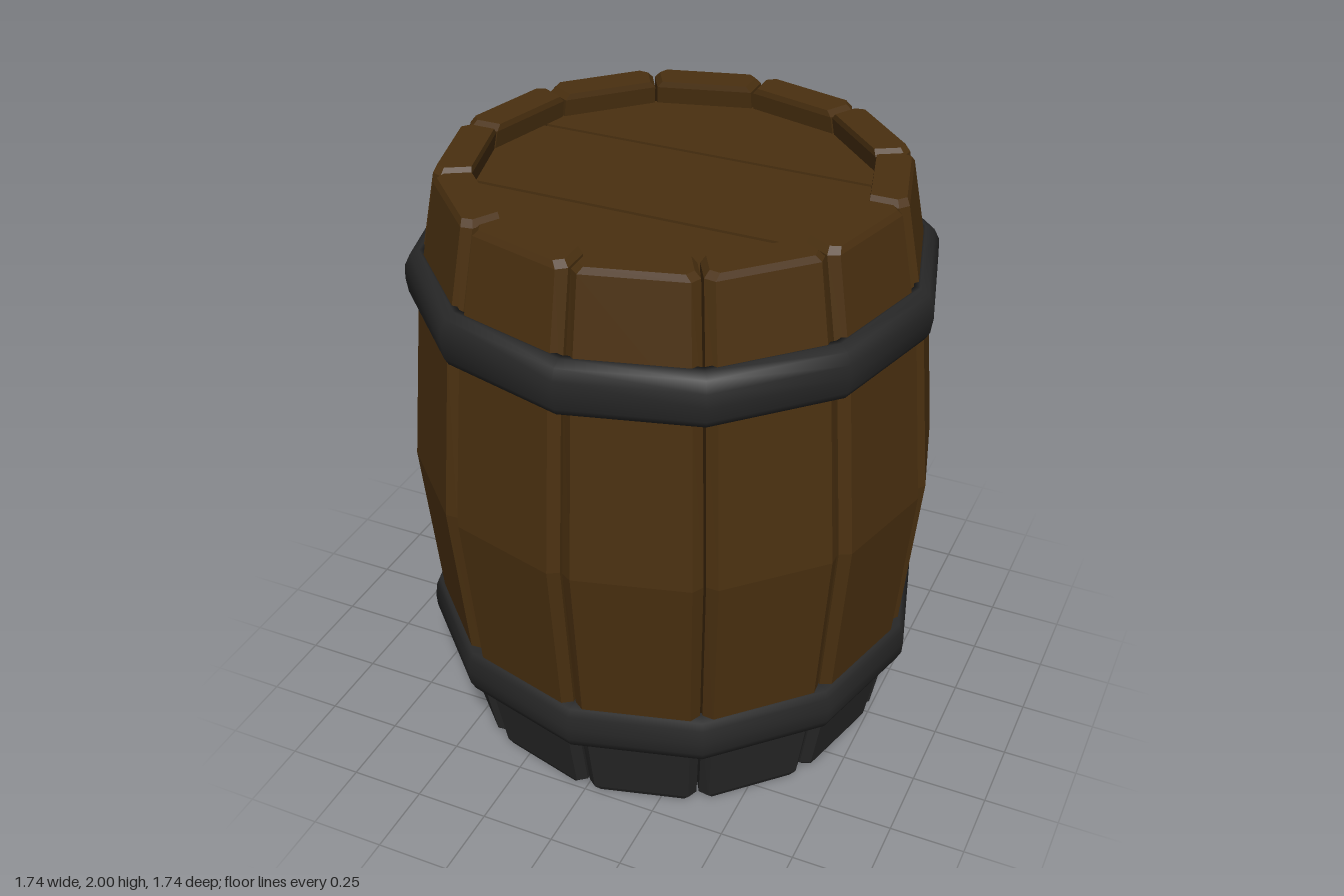
import * as THREE from 'three';

const COUNT = 12;
const STEP = (Math.PI * 2) / COUNT;

// Barrel bulge: 1 at mid height, narrowing toward both ends
function bulge(y) {
  const d = Math.abs(y - 1);
  return d < 0.6 ? 1 - (d / 0.6) * 0.062 : 0.938 - ((d - 0.6) / 0.4) * 0.088;
}

// Cross-section of one stave as [radius, sideways] pairs
function staveSection(y, scale = 1) {
  const f = bulge(y), outer = 0.85 * f, w = 0.187 * f;
  const mid = outer - 0.03, inner = outer - 0.12, centre = outer - 0.06;
  const side = r => r * Math.tan(STEP / 2) - 0.004;
  return [
    [outer, -w], [outer, w], [mid, side(mid)],
    [inner, side(inner)], [inner, -side(inner)], [mid, -side(mid)],
  ].map(([r, t]) => [centre + (r - centre) * scale, y, t * scale]);
}

// Skin a stack of sections, closed at both ends, with faceted normals
function skin(loops) {
  const pos = [];
  const tri = (a, b, c) => pos.push(...a, ...b, ...c);
  const n = loops[0].length;
  for (let i = 0; i < loops.length - 1; i++) {
    for (let j = 0; j < n; j++) {
      const k = (j + 1) % n;
      const a = loops[i][j], b = loops[i][k], c = loops[i + 1][k], d = loops[i + 1][j];
      tri(a, d, c);
      tri(a, c, b);
    }
  }
  const bottom = loops[0], top = loops[loops.length - 1];
  for (let j = 1; j < n - 1; j++) {
    tri(bottom[0], bottom[j], bottom[j + 1]);
    tri(top[0], top[j + 1], top[j]);
  }
  const geo = new THREE.BufferGeometry();
  geo.setAttribute('position', new THREE.Float32BufferAttribute(pos, 3));
  geo.computeVertexNormals();
  return geo;
}

// Lid plank: a strip of a twelve-sided disc between two z values
function plankGeometry(z0, z1, radius, depth) {
  const corners = [];
  for (let i = -3; i <= 3; i++) {
    corners.push([radius * Math.sin(i * STEP), radius * Math.cos(i * STEP)]);
  }
  const halfWidth = z => {
    for (let i = 0; i < 6; i++) {
      const [a, wa] = corners[i], [b, wb] = corners[i + 1];
      if (z <= b) return wa + ((wb - wa) * (z - a)) / (b - a);
    }
    return 0;
  };
  const zs = [z0, ...corners.map(c => c[0]).filter(z => z > z0 + 1e-4 && z < z1 - 1e-4), z1];
  const right = zs.map(z => new THREE.Vector2(halfWidth(z), z));
  const left = zs.map(z => new THREE.Vector2(-halfWidth(z), z)).reverse();
  const geo = new THREE.ExtrudeGeometry(new THREE.Shape([...right, ...left]), { depth, bevelEnabled: false });
  return geo.rotateX(-Math.PI / 2);
}

export function createModel() {
  const barrel = new THREE.Group();
  barrel.name = 'barrel';
  const wood = new THREE.MeshStandardMaterial({ color: 0x4a3010 });
  wood.name = 'brown wood';
  const iron = new THREE.MeshStandardMaterial({ color: 0x272727 });
  iron.name = 'dark iron';

  const add = (name, geo, mat, y = 0) => {
    const mesh = new THREE.Mesh(geo, mat);
    mesh.name = name;
    mesh.position.y = y;
    barrel.add(mesh);
    return mesh;
  };

  // Staves: brown above the lower hoop, dark below it
  const upper = skin([
    ...[0.36, 0.4, 1, 1.6, 1.98].map(y => staveSection(y)), staveSection(2, 0.9),
  ]);
  const lower = skin([
    staveSection(0, 0.9), ...[0.02, 0.36].map(y => staveSection(y)),
  ]);
  for (let i = 0; i < COUNT; i++) {
    add('stave', upper, wood).rotation.y = (i + 0.5) * STEP;
    add('staveFoot', lower, iron).rotation.y = (i + 0.5) * STEP;
  }

  // Hoops: rounded bands, the lower one mirrored
  const profile = [
    [0.785, 1.565], [0.835, 1.566], [0.848, 1.59], [0.855, 1.64], [0.852, 1.685],
    [0.835, 1.72], [0.805, 1.735], [0.785, 1.735], [0.785, 1.565],
  ];
  const hoop = pts => new THREE.LatheGeometry(pts.map(p => new THREE.Vector2(...p)), COUNT);
  add('upperHoop', hoop(profile), iron);
  add('lowerHoop', hoop(profile.map(([r, y]) => [r, 2 - y]).reverse()), iron);

  // Lid: three planks over a thin backing, leaving narrow grooves
  const R = 0.65;
  add('lidBacking', plankGeometry(-R, R, R, 0.02), wood, 1.88);
  for (const [a, b] of [[-R, -0.243], [-0.228, 0.228], [0.243, R]]) {
    add('lidPlank', plankGeometry(a, b, R, 0.02), wood, 1.9);
  }

  // Base disc
  add('base', plankGeometry(-R, R, R, 0.04), wood, 0.08);

  return barrel;
}
